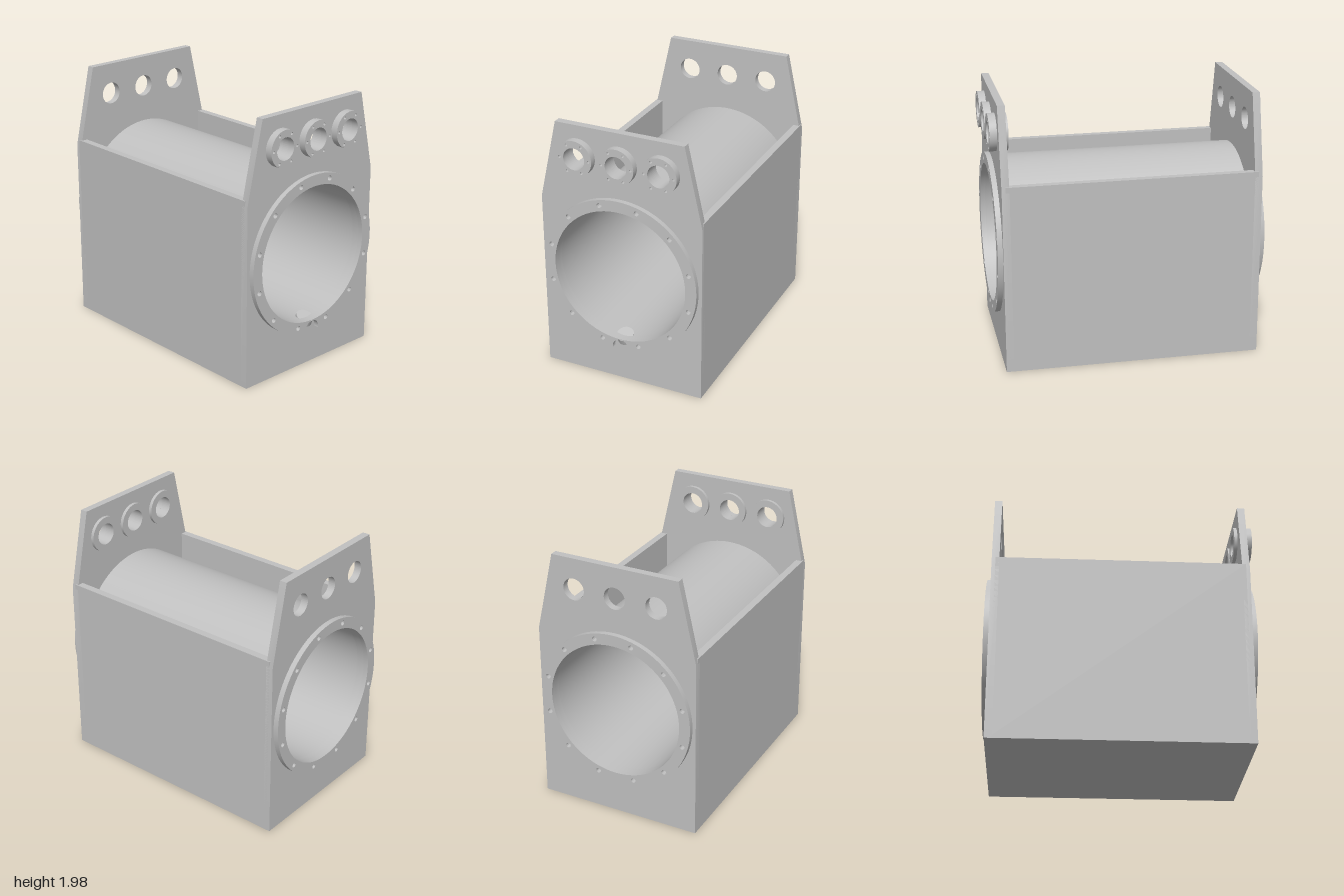
import * as THREE from 'three';
import { toCreasedNormals } from 'three/addons/utils/BufferGeometryUtils.js';

const BORE = 0.52, BORE_Y = 0.875, NOZZLE_Y = 1.745, NOZZLE_X = [-0.325, 0, 0.325], NOZZLE_R = 0.083;
const FRONT_IN = 0.89, FRONT_OUT = 0.946, BACK_IN = -0.905, BACK_OUT = -0.961;

export function createModel() {
  const group = new THREE.Group();
  const steel = new THREE.MeshStandardMaterial({ color: 0xc0c0c0 });
  steel.name = 'grey steel';

  const add = (name, geometry, x = 0, y = 0, z = 0) => {
    const mesh = new THREE.Mesh(geometry, steel);
    mesh.name = name;
    mesh.position.set(x, y, z);
    group.add(mesh);
    return mesh;
  };
  const punch = (shape, x, y, r) => {
    shape.holes.push(new THREE.Path().absarc(x, y, r, 0, Math.PI * 2, true));
    return shape;
  };
  const disc = (r) => new THREE.Shape().absarc(0, 0, r, 0, Math.PI * 2, false);
  const boltCircle = (shape, count, radius, r, offset) => {
    for (let i = 0; i < count; i++) {
      const a = offset + (i / count) * Math.PI * 2;
      punch(shape, Math.cos(a) * radius, Math.sin(a) * radius, r);
    }
    return shape;
  };
  // Extrude a shape between two z values, smooth on curves and sharp on edges
  const slab = (shape, z0, z1, segments = 40) => {
    const g = new THREE.ExtrudeGeometry(shape, { depth: z1 - z0, bevelEnabled: false, curveSegments: segments });
    g.translate(0, 0, z0);
    return toCreasedNormals(g, 0.6);
  };

  // End plates with tapered tops, main bore and three nozzle holes
  const endPlate = () => {
    const s = new THREE.Shape([
      [-0.63, 0], [0.63, 0], [0.63, 1.38], [0.495, 1.98], [-0.495, 1.98], [-0.63, 1.38],
    ].map(([x, y]) => new THREE.Vector2(x, y)));
    punch(s, 0, BORE_Y, BORE);
    NOZZLE_X.forEach((x) => punch(s, x, NOZZLE_Y, NOZZLE_R));
    return s;
  };
  add('frontPlate', slab(endPlate(), FRONT_IN, FRONT_OUT, 48));
  add('backPlate', slab(endPlate(), BACK_OUT, BACK_IN, 48));

  // Side walls reach halfway into the end plates
  const wallLength = 1.851, wallZ = -0.0075;
  for (const side of [-1, 1]) {
    add(side > 0 ? 'leftWall' : 'rightWall', new THREE.BoxGeometry(0.055, 1.42, wallLength), side * 0.6025, 0.71, wallZ);
  }
  add('floor', new THREE.BoxGeometry(1.2, 0.055, wallLength), 0, 0.0275, wallZ);

  // Main pipe
  add('mainPipe', slab(punch(disc(0.585), 0, 0, BORE), BACK_IN, FRONT_IN, 48), 0, BORE_Y, 0);

  // Main flanges; the front one is notched at the bottom for the drain
  const R = 0.605, d = 0.59, r = 0.065;
  const phi = Math.acos((R * R + d * d - r * r) / (2 * R * d));
  const a = Math.asin((R * Math.cos(phi) - d) / r);
  const notched = new THREE.Shape()
    .absarc(0, 0, R, -Math.PI / 2 + phi, Math.PI * 1.5 - phi, false)
    .absarc(0, -d, r, Math.PI + a, -a, true);
  const flange = (outline) => boltCircle(punch(outline, 0, 0, BORE), 12, 0.563, 0.019, Math.PI / 12);
  add('frontFlange', slab(flange(notched), FRONT_OUT, 0.984, 48), 0, BORE_Y, 0);
  add('backFlange', slab(flange(disc(R)), -1, BACK_OUT, 48), 0, BORE_Y, 0);

  // Drain stub leaning out of the bottom of the bore
  const stub = add('drainStub', new THREE.CylinderGeometry(0.065, 0.065, 0.05, 32), 0, 0.337, 0.9);
  stub.rotation.x = Math.acos(0.925);

  // Three nozzles: a drilled face ring in front, a plain sleeve through the plate
  NOZZLE_X.forEach((x) => {
    const face = boltCircle(punch(disc(0.137), 0, 0, NOZZLE_R), 6, 0.113, 0.01, 0);
    add('nozzleFace', slab(face, FRONT_OUT, 1, 24), x, NOZZLE_Y, 0);
    add('nozzleSleeve', slab(punch(disc(0.137), 0, 0, NOZZLE_R), 0.865, FRONT_IN, 24), x, NOZZLE_Y, 0);
  });

  return group;
}
